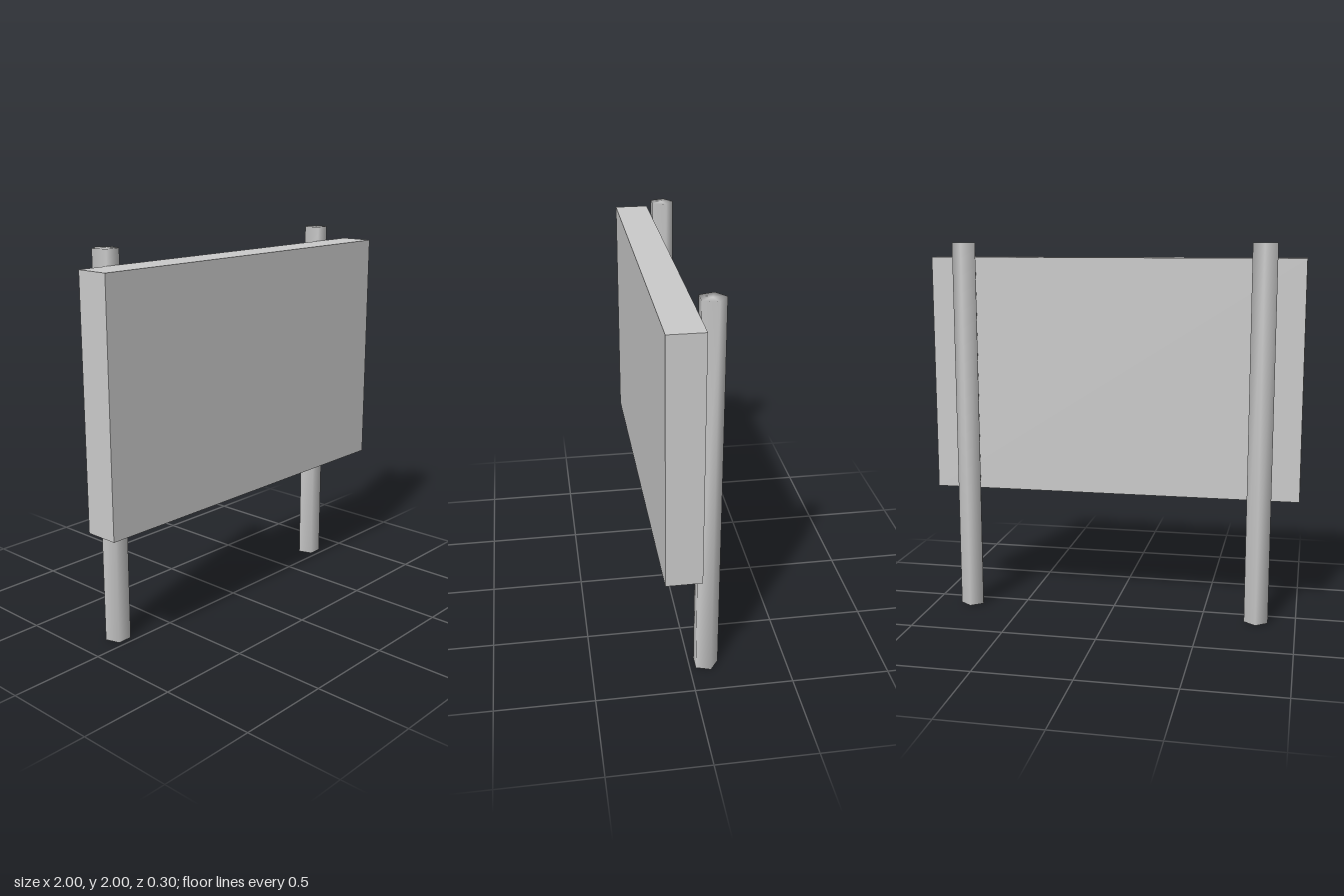
import * as THREE from 'three';
import { mergeVertices } from 'three/addons/utils/BufferGeometryUtils.js';

const material = new THREE.MeshStandardMaterial({ color: 0xcccccc });

// Five-sided post with shared, smoothed normals and one corner pointing back
function postGeometry(radius, height) {
  const raw = new THREE.CylinderGeometry(radius, radius, height, 5, 1, false, Math.PI);
  raw.deleteAttribute('normal');
  raw.deleteAttribute('uv');
  const geometry = mergeVertices(raw, 1e-4);
  geometry.computeVertexNormals();
  return geometry;
}

export function createModel() {
  const group = new THREE.Group();
  group.name = 'billboard';

  // Thick rectangular sign panel
  const panel = new THREE.Mesh(new THREE.BoxGeometry(2, 1.27, 0.18), material);
  panel.name = 'panel';
  panel.position.set(0, 1.287, 0.062);
  group.add(panel);

  // Two posts standing against the back of the panel
  const geometry = postGeometry(0.067, 2);
  for (const [name, side] of [['leftPost', 1], ['rightPost', -1]]) {
    const post = new THREE.Mesh(geometry, material);
    post.name = name;
    post.position.set(side * 0.792, 1, -0.085);
    group.add(post);
  }
  return group;
}
